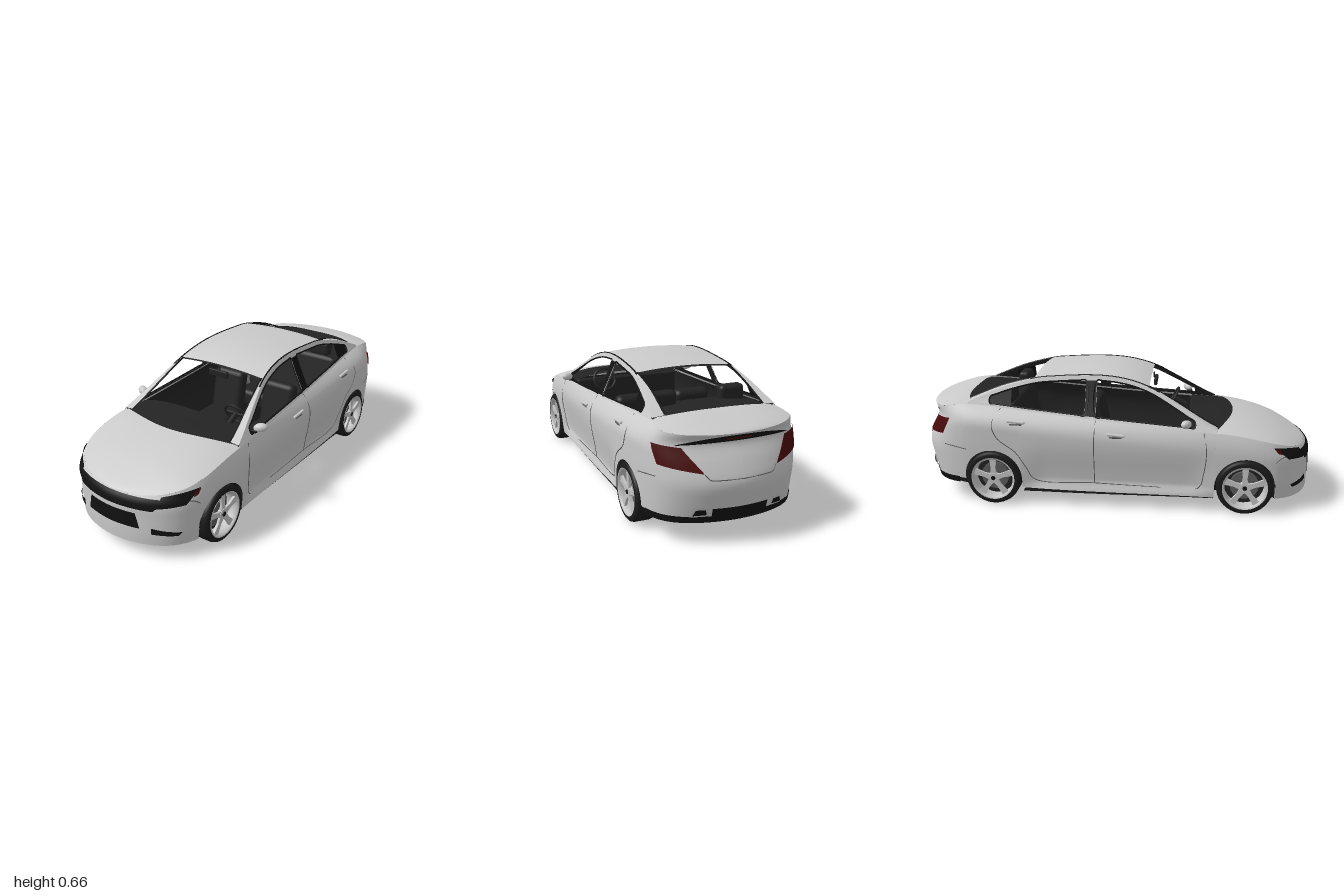
import * as THREE from 'three';
import { RoundedBoxGeometry } from 'three/addons/geometries/RoundedBoxGeometry.js';

const mat = (name, color) => Object.assign(new THREE.MeshStandardMaterial({ color, side: THREE.DoubleSide }), { name });
const V = (x, y, z) => new THREE.Vector3(x, y, z);
const lerp = THREE.MathUtils.lerp, clamp = THREE.MathUtils.clamp;

// smooth lookup in a short table of [x, value]
function at(t, x) {
  const n = t.length - 1;
  if (x <= t[0][0]) return t[0][1];
  if (x >= t[n][0]) return t[n][1];
  let i = 0;
  while (x > t[i + 1][0]) i++;
  const slope = (k) => {
    const a = t[Math.max(0, k - 1)], b = t[Math.min(n, k + 1)];
    return (b[1] - a[1]) / (b[0] - a[0]);
  };
  const h = t[i + 1][0] - t[i][0], s = (x - t[i][0]) / h, s2 = s * s, s3 = s2 * s;
  return (2 * s3 - 3 * s2 + 1) * t[i][1] + (s3 - 2 * s2 + s) * h * slope(i)
    + (3 * s2 - 2 * s3) * t[i + 1][1] + (s3 - s2) * h * slope(i + 1);
}

// grid surface from fn(u, v) -> Vector3
function grid(nu, nv, fn) {
  const pos = [], idx = [];
  for (let i = 0; i <= nu; i++) for (let j = 0; j <= nv; j++) pos.push(...fn(i / nu, j / nv).toArray());
  for (let i = 0; i < nu; i++) for (let j = 0; j < nv; j++) {
    const a = i * (nv + 1) + j, b = a + nv + 1;
    idx.push(a, b, a + 1, b, b + 1, a + 1);
  }
  const g = new THREE.BufferGeometry();
  g.setAttribute('position', new THREE.Float32BufferAttribute(pos, 3));
  g.setIndex(idx);
  g.computeVertexNormals();
  return g;
}

// body rules: plan outline, shoulder, roof edge, lower edge
const HALF = 0.371, ARCH = 0.147, AXLE = 0.137, WHEELS = [-0.655, 0.59];
const SHOULDER = [[-1, 0.3], [-0.95, 0.315], [-0.8, 0.357], [-0.6, 0.398], [-0.45, 0.41], [0, 0.442], [0.4, 0.476], [0.6, 0.495], [0.75, 0.502], [0.9, 0.487], [1, 0.481]];
const ROOF = [[-0.52, 0.415], [-0.45, 0.45], [-0.3, 0.537], [-0.18, 0.6], [-0.05, 0.637], [0.1, 0.648], [0.3, 0.638], [0.39, 0.627], [0.55, 0.583], [0.72, 0.512]];
const CROWN = [[-1, 0.03], [-0.6, 0.04], [0, 0.035], [0.75, 0.03], [1, 0.02]];
const FRONT = [[0.07, 0.006], [0.12, 0.006], [0.2, 0.01], [0.28, 0.016], [0.33, 0.05], [0.4, 0.06]];
const REAR = [[0.08, 0.05], [0.13, 0.035], [0.2, 0.015], [0.28, 0], [0.36, 0.03], [0.435, 0.07], [0.46, 0.062], [0.48, 0.045]];
const TUCK = [[0.07, 0.016], [0.13, 0.008], [0.2, 0.004], [0.32, 0], [0.5, 0]];
const DOOR = [[0.095, 0], [0.125, 0.02], [0.32, 0], [0.5, 0]];
const LOWER = [[-1, 0.073], [-0.8, 0.075], [-0.4, 0.08], [0.4, 0.09], [0.72, 0.125], [1, 0.13]];
const shoulder = (x) => at(SHOULDER, x), roofY = (x) => at(ROOF, x);
const cabinZ = (y) => {
  const d = 0.648 - y;
  return 0.24 + 0.38 * d + 0.35 * d * Math.abs(d);
};
const plan = (x) => {
  const t = clamp((Math.abs(x) - 0.3) / 0.7, 0, 1);
  return HALF * Math.pow(1 - Math.pow(t, 6.5), 1 / 1.8);
};
const planX = (z) => 0.3 + 0.7 * Math.pow(Math.max(0, 1 - Math.pow(Math.abs(z) / HALF, 1.8)), 1 / 6.5);
const lower = (x) => {
  for (const c of WHEELS) if (Math.abs(x - c) < ARCH) return AXLE + Math.sqrt(ARCH * ARCH - (x - c) ** 2);
  return at(LOWER, x);
};
// point on the body side (+z) at outline position x and height y
function surf(x, y, off = 0) {
  const w = plan(x), k = w / HALF, s = shoulder(x);
  const top = Math.max(0.02 * k, w - cabinZ(s));
  const d = clamp((s - y) / 0.1, 0, 1), e = clamp((Math.abs(x) - 0.6) / 0.4, 0, 1) ** 2;
  const shift = x > 0 ? -at(REAR, y) : at(FRONT, y);
  const door = at(DOOR, y) * clamp((0.48 - Math.abs(x + 0.03)) / 0.1, 0, 1);
  return V(x + shift * e, y, w - top * (1 - d) ** 2 - at(TUCK, y) * k - door + off * k);
}
// point on the nose (end -1) or tail (end 1) at sideways position z
function endPoint(z, y, end, off) {
  const p = surf(end * planX(z), y, off);
  return V(p.x + end * off, y, z < 0 ? -p.z : p.z);
}
// point across bonnet and boot, s from -1 to 1
function topPoint(x, s, drop = 0) {
  const p = surf(x, shoulder(x));
  return V(p.x, p.y + at(CROWN, x) * plan(x) / HALF * (1 - Math.abs(s) ** 3) - drop, s * p.z);
}
const roofPoint = (x, s, drop = 0) => V(x, roofY(x) + 0.015 * (1 - s * s) - drop, s * cabinZ(roofY(x)));

export function createModel() {
  const car = new THREE.Group();
  car.name = 'car';
  const paint = mat('body paint', 0xcacaca), black = mat('black trim', 0x111111), dark = mat('dark interior', 0x232323);
  const red = mat('red lamp', 0x480a0a), alloy = mat('wheel alloy', 0xc4c4c4), seam = mat('panel gap', 0x5c5c5c);
  const rubber = mat('tyre rubber', 0x1a1a1a);
  const add = (name, geo, m, parent = car) => {
    const mesh = new THREE.Mesh(geo, m);
    mesh.name = name;
    parent.add(mesh);
    return mesh;
  };
  const box = (name, m, x, y, z, sx, sy, sz, r = 0.012) => {
    const b = add(name, new RoundedBoxGeometry(sx, sy, sz, 3, Math.min(r, sx / 2.1, sy / 2.1, sz / 2.1)), m);
    b.position.set(x, y, z);
    return b;
  };
  const tube = (name, pts, r, m, closed = false) =>
    add(name, new THREE.TubeGeometry(new THREE.CatmullRomCurve3(pts, closed, 'centripetal'), pts.length * 5, r, 5, closed), m);
  // thin plate on nose or tail from four [z, y] corners
  const plate = (name, m, end, off, [a, b, c, d], side = 1) => add(name, grid(24, 6, (u, v) => endPoint(
    side * lerp(lerp(a[0], b[0], u), lerp(d[0], c[0], u), v), lerp(lerp(a[1], b[1], u), lerp(d[1], c[1], u), v), end, off)), m);
  const rect = (z0, z1, y0, y1) => [[z0, y1], [z1, y1], [z1, y0], [z0, y0]];

  // stations along the outline, dense at the ends and round the wheel arches
  const xs = [];
  for (let i = 0; i <= 20; i++) xs.push(planX(i * 0.017), -planX(i * 0.017));
  for (let i = -20; i <= 20; i++) xs.push(i * 0.039);
  for (const c of WHEELS) {
    xs.push(c - ARCH - 0.0005, c + ARCH + 0.0005);
    for (let i = 0; i <= 20; i++) xs.push(c + (ARCH - 0.0001) * Math.cos(i * Math.PI / 20));
  }
  xs.sort((a, b) => a - b);
  const N = xs.length - 1, X = (u) => xs[Math.round(u * N)];

  // bonnet, boot lid, dashboard top, parcel shelf
  add('bonnet', grid(30, 20, (u, v) => {
    const s = v * 2 - 1;
    return topPoint(-1 + (0.4 + 0.1 * s * s) * u ** 3, s);
  }), paint);
  add('bootLid', grid(30, 20, (u, v) => {
    const s = v * 2 - 1;
    return topPoint(1 - (0.25 + 0.05 * s ** 4) * u ** 3, s);
  }), paint);
  add('dashboard', grid(8, 16, (u, v) => topPoint(-0.62 + 0.23 * u, (v * 2 - 1) * 0.95, 0.006)), dark);
  box('dashboardFace', dark, -0.4, 0.34, 0, 0.04, 0.16, 0.6);
  add('parcelShelf', grid(8, 16, (u, v) => topPoint(0.5 + 0.27 * u, (v * 2 - 1) * 0.95, 0.012)), dark);

  // roof, headliner and floor
  add('roof', grid(24, 16, (u, v) => roofPoint(-0.18 + 0.57 * u, v * 2 - 1)), paint);
  add('headliner', grid(24, 16, (u, v) => roofPoint(-0.178 + 0.566 * u, (v * 2 - 1) * 0.98, 0.01)), dark);
  add('underbody', grid(N, 2, (u, v) => {
    const x = X(u), well = WHEELS.some((c) => Math.abs(x - c) < ARCH);
    const p = surf(x, 0.1);
    return V(p.x * 0.995, at([[-1, 0.08], [-0.4, 0.072], [0.5, 0.072], [0.75, 0.1], [1, 0.115]], x), (v * 2 - 1) * (well ? Math.min(0.245, p.z) : p.z * 0.98));
  }), black);

  // cabin side outline with two window openings
  const line = (x0, x1, n, f) => Array.from({ length: n + 1 }, (_, i) => {
    const x = lerp(x0, x1, i / n);
    return new THREE.Vector2(x, f(x));
  });
  const sill = (x) => shoulder(x) + 0.012, head = (x) => roofY(x) - 0.022;
  const windows = [[-0.405, 0.075], [0.13, 0.605]].map(([a, b]) => [...line(a, b, 16, sill), ...line(b, a, 16, head)]);
  const sideShape = new THREE.Shape([...line(-0.515, 0.72, 40, (x) => shoulder(x) - 0.002), ...line(0.715, -0.51, 40, roofY)]);
  sideShape.holes = windows.map((w) => new THREE.Path(w));
  const cabinSide = (side, off) => {
    const g = new THREE.ShapeGeometry(sideShape), p = g.attributes.position;
    for (let i = 0; i < p.count; i++) p.setZ(i, side * (cabinZ(p.getY(i)) + off));
    if (side < 0) g.setIndex(Array.from(g.index.array).reverse());
    g.computeVertexNormals();
    return g;
  };

  // one tapering wheel spoke
  const spokeShape = new THREE.Shape([[-0.017, 0.008], [0.017, 0.008], [0.011, 0.05], [0.017, 0.102], [-0.017, 0.102], [-0.011, 0.05]].map((p) => new THREE.Vector2(...p)));
  const spokeGeo = new THREE.ExtrudeGeometry(spokeShape, { depth: 0.012, bevelEnabled: false });

  for (const side of [1, -1]) {
    const n = side > 0 ? 'left' : 'right';
    const flip = (p) => V(p.x, p.y, p.z * side);
    // wrap-round lower body and its dark lining
    add(n + 'BodySide', grid(N, 20, (u, v) => {
      const x = X(u);
      return flip(surf(x, lerp(lower(x), shoulder(x), 1 - (1 - v) ** 1.2)));
    }), paint);
    add(n + 'BodyLining', grid(N, 8, (u, v) => {
      const x = X(u), p = surf(x, lerp(lower(x) + 0.003, shoulder(x) - 0.012, v), -0.012);
      return V(p.x * 0.985, p.y, p.z * side);
    }), dark);
    add(n + 'RearSkirt', grid(24, 2, (u, v) => flip(endPoint(0.355 * u, lerp(0.103, 0.134, v), 1, 0.003))), black);

    // cabin frame, pillars and trims
    add(n + 'WindowFrame', cabinSide(side, 0), paint);
    add(n + 'WindowFrameLining', cabinSide(side, -0.008), dark);
    for (const [name, a, b, s0, s1] of [['FrontPillar', -0.515, -0.18, 0.86, 0.94], ['RearPillar', 0.39, 0.72, 0.95, 0.8]]) {
      add(n + name, grid(16, 4, (u, v) => flip(roofPoint(lerp(a, b, u), lerp(lerp(s0, s1, u), 1, v)))), paint);
      add(n + name + 'Lining', grid(16, 4, (u, v) => flip(roofPoint(lerp(a, b, u), lerp(lerp(s0, s1, u), 0.98, v), 0.008))), dark);
      tube(n + name + 'Seal', Array.from({ length: 10 }, (_, i) => flip(roofPoint(lerp(a, b, i / 9), lerp(s0, s1, i / 9)))), 0.004, black);
    }
    windows.forEach((w) => tube(n + 'WindowSeal', w.map((p) => V(p.x, p.y, side * cabinZ(p.y))), 0.004, black, true));
    for (const [name, a, b, off] of [['MiddlePillar', 0.076, 0.129, 0.004], ['QuarterPanel', 0.5, 0.605, -0.003]]) {
      add(n + name, grid(8, 6, (u, v) => {
        const x = lerp(a, b, u), y = lerp(sill(x), head(x), v);
        return V(x, y, side * (cabinZ(y) + off));
      }), black);
    }
    tube(n + 'RoofTrim', Array.from({ length: 12 }, (_, i) => flip(roofPoint(lerp(-0.23, 0.41, i / 11), 0.98))), 0.004, black);

    // door and bumper gaps
    const gap = (name, pts) => tube(n + name, pts.map(([x, y]) => flip(surf(x, y, 0.0005))), 0.0022, seam);
    gap('FrontDoorGap', [[-0.45, 0.405], [-0.465, 0.32], [-0.455, 0.2], [-0.43, 0.12], [-0.2, 0.118], [0.08, 0.125]]);
    gap('MiddleDoorGap', [[0.075, 0.448], [0.078, 0.38], [0.08, 0.32], [0.08, 0.25], [0.08, 0.18], [0.08, 0.125]]);
    gap('RearDoorGap', [[0.08, 0.125], [0.38, 0.135], [0.42, 0.2], [0.47, 0.28], [0.56, 0.35], [0.585, 0.42], [0.55, 0.488]]);
    gap('RearBumperGap', [[0.72, 0.285], [0.78, 0.295], [0.84, 0.3]]);
    gap('FrontBumperGap', [[-0.8, 0.265], [-0.83, 0.285], [-0.86, 0.29]]);
    tube(n + 'BootGap', [[0.165, 0.325], [0.145, 0.303], [0.1, 0.3], [0, 0.299]].map(([z, y]) => endPoint(z * side, y, 1, 0)), 0.0022, seam);
    for (const [x, y] of [[-0.027, 0.385], [0.465, 0.433]]) {
      box(n + 'DoorHandle', paint, x, y, side * (surf(x, y).z + 0.003), 0.09, 0.014, 0.014, 0.006).rotation.z = 0.08;
      box(n + 'HandleRecess', seam, x, y - 0.012, side * surf(x, y - 0.012).z, 0.06, 0.008, 0.006, 0.002);
    }

    // door mirror
    const mirror = add(n + 'Mirror', new THREE.SphereGeometry(1, 20, 14), paint);
    mirror.position.set(-0.365, 0.45, side * 0.364);
    mirror.scale.set(0.022, 0.021, 0.034);
    mirror.rotation.set(side * -0.15, side * 0.5, 0);
    box(n + 'MirrorArm', black, -0.375, 0.432, side * 0.34, 0.03, 0.014, 0.03, 0.005);

    // lamps and bumper details
    plate(n + 'TailLamp', red, 1, 0.005, [[0.34, 0.438], [0.242, 0.428], [0.165, 0.328], [0.325, 0.355]], side);
    plate(n + 'HeadLamp', black, -1, 0.005, [[0.35, 0.338], [0.24, 0.312], [0.22, 0.262], [0.32, 0.278]], side);
    plate(n + 'SideMarker', red, -1, 0.008, [[0.35, 0.336], [0.338, 0.328], [0.336, 0.305], [0.344, 0.312]], side);
    plate(n + 'FogSlot', black, -1, 0.005, [[0.31, 0.145], [0.2, 0.165], [0.2, 0.135], [0.3, 0.128]], side);
    plate(n + 'ExhaustSurround', alloy, 1, 0.006, [[0.203, 0.18], [0.15, 0.18], [0.145, 0.137], [0.22, 0.133]], side);
    plate(n + 'ExhaustOpening', black, 1, 0.01, [[0.196, 0.17], [0.157, 0.17], [0.153, 0.146], [0.208, 0.142]], side);

    // seats
    box(n + 'FrontSeat', dark, -0.02, 0.2, side * 0.16, 0.22, 0.09, 0.2, 0.03);
    box(n + 'FrontSeatBack', dark, 0.11, 0.32, side * 0.16, 0.07, 0.27, 0.19, 0.03).rotation.z = -0.2;
    box(n + 'RearHeadrest', dark, 0.53, 0.53, side * 0.172, 0.06, 0.08, 0.125, 0.02);

    // wheels and wells
    WHEELS.forEach((cx, k) => {
      const wn = n + (k ? 'Rear' : 'Front');
      const well = add(wn + 'WheelWell', new THREE.CylinderGeometry(0.147, 0.147, 0.105, 28, 1, true, Math.PI / 2, Math.PI).rotateX(Math.PI / 2), black);
      well.position.set(cx, AXLE, side * 0.2925);
      add(wn + 'WellWall', new THREE.CircleGeometry(0.148, 28, 0, Math.PI), black).position.set(cx, AXLE, side * 0.24);
      box(wn + 'WellSkirt', black, cx, 0.106, side * 0.242, 0.3, 0.068, 0.006, 0.002);
      const wheel = new THREE.Group();
      wheel.name = wn + 'Wheel';
      wheel.position.set(cx, AXLE, side * 0.32);
      wheel.rotation.y = side > 0 ? 0 : Math.PI;
      car.add(wheel);
      const lathe = (pts) => new THREE.LatheGeometry(pts.map((p) => new THREE.Vector2(...p)), 40).rotateX(Math.PI / 2);
      add('tyre', lathe([[0.107, -0.05], [0.124, -0.052], [0.133, -0.045], [0.137, -0.034], [0.137, 0.034], [0.133, 0.045], [0.124, 0.052], [0.107, 0.05]]), rubber, wheel);
      add('rim', lathe([[0.107, -0.05], [0.1, -0.04], [0.097, 0.03], [0.1, 0.05], [0.11, 0.053]]), alloy, wheel);
      add('brakeDisc', new THREE.CylinderGeometry(0.07, 0.07, 0.012, 32).rotateX(Math.PI / 2), seam, wheel);
      add('wheelBack', new THREE.CircleGeometry(0.098, 32), dark, wheel).position.z = -0.012;
      const hub = add('hub', new THREE.CylinderGeometry(0.026, 0.03, 0.018, 20).rotateX(Math.PI / 2), alloy, wheel);
      hub.position.z = 0.036;
      add('hubCap', new THREE.CylinderGeometry(0.011, 0.011, 0.004, 16).rotateX(Math.PI / 2), black, wheel).position.z = 0.046;
      for (let i = 0; i < 5; i++) {
        const spoke = add('spoke', spokeGeo, alloy, wheel);
        spoke.position.z = 0.031;
        spoke.rotation.z = i * Math.PI * 0.4;
      }
    });
  }

  // nose and tail centre details
  plate('grille', black, -1, 0.006, [[-0.25, 0.302], [0.25, 0.302], [0.21, 0.25], [-0.21, 0.25]]);
  plate('lowerIntake', black, -1, 0.005, [[-0.13, 0.228], [0.13, 0.228], [0.15, 0.155], [-0.15, 0.155]]);
  plate('rearDiffuser', black, 1, 0.005, rect(-0.13, 0.13, 0.13, 0.172));
  add('spoilerShadow', grid(32, 3, (u, v) => {
    const k = u * 2 - 1;
    return endPoint(k * 0.265, lerp(0.444 - 0.008 * k * k, 0.475 - 0.037 * k * k, v), 1, 0.004);
  }), black);
  plate('highBrakeLamp', red, 1, 0.008, rect(-0.06, 0.06, 0.453, 0.464));

  // cabin fittings
  box('rearBench', dark, 0.4, 0.2, 0, 0.2, 0.1, 0.5, 0.03);
  box('rearBenchBack', dark, 0.52, 0.35, 0, 0.08, 0.28, 0.56, 0.03).rotation.z = -0.2;
  box('centreConsole', dark, -0.15, 0.18, 0, 0.45, 0.14, 0.08);
  box('cabinMirror', dark, -0.2, 0.577, 0, 0.016, 0.033, 0.113, 0.004);
  box('cabinMirrorStem', dark, -0.19, 0.603, 0, 0.008, 0.03, 0.008, 0.003);
  const steering = new THREE.Group();
  steering.name = 'steeringWheel';
  steering.position.set(-0.29, 0.435, 0.17);
  steering.rotation.y = Math.PI / 2;
  const tilt = new THREE.Group();
  tilt.name = 'steeringTilt';
  tilt.rotation.x = -0.45;
  steering.add(tilt);
  add('steeringRing', new THREE.TorusGeometry(0.06, 0.007, 8, 32), dark, tilt);
  add('steeringSpoke', new THREE.BoxGeometry(0.115, 0.016, 0.008), dark, tilt);
  add('steeringColumn', new THREE.CylinderGeometry(0.014, 0.014, 0.08, 12).rotateX(Math.PI / 2).translate(0, 0, -0.04), dark, tilt);
  car.add(steering);
  return car;
}
